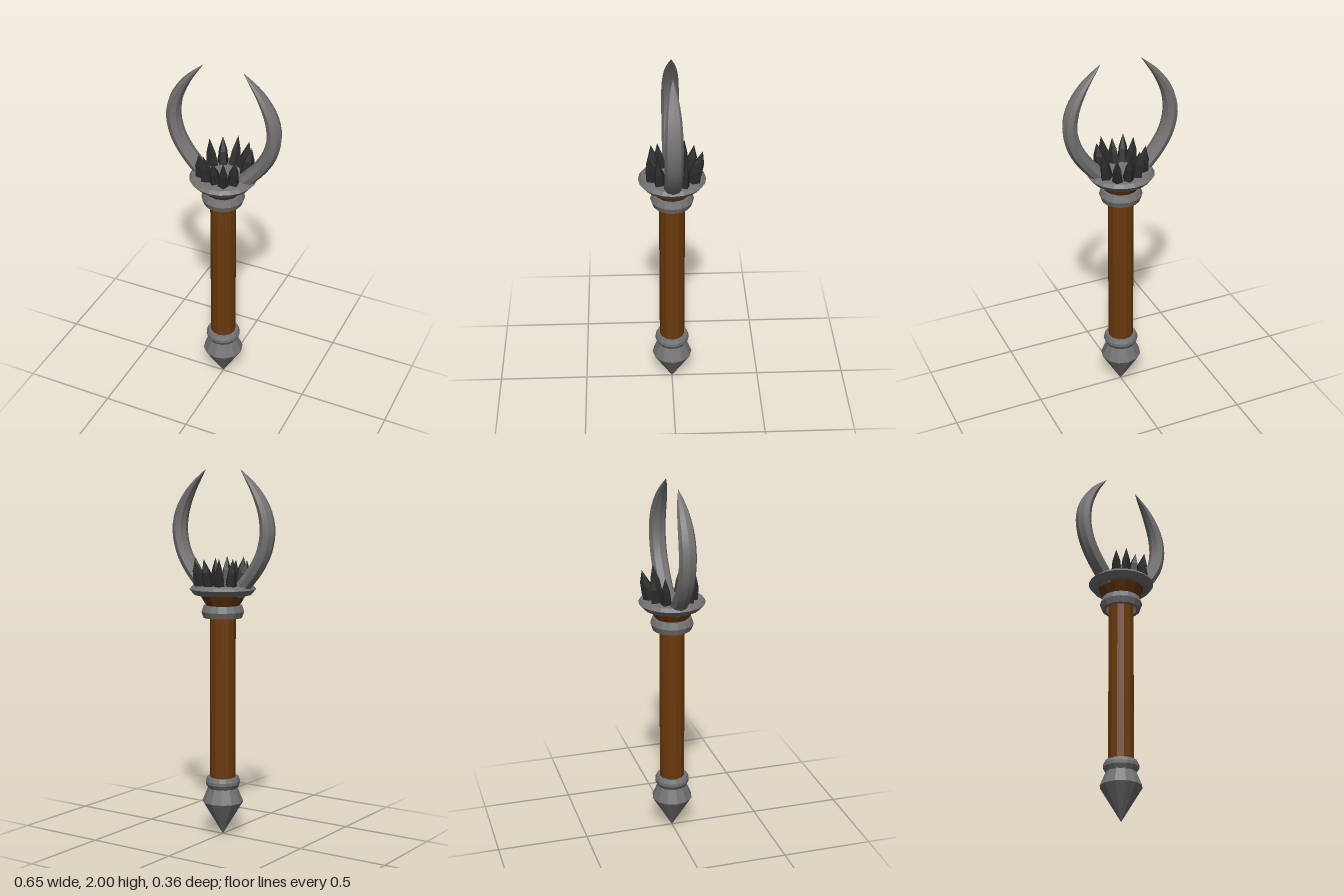
import * as THREE from 'three';

const paint = (name, color) => {
  const m = new THREE.MeshStandardMaterial({ color });
  m.name = name;
  return m;
};

// Faceted copy of a geometry
function facet(geo) {
  const g = geo.index ? geo.toNonIndexed() : geo;
  g.computeVertexNormals();
  return g;
}

// Faceted turned part from [radius, y] pairs, listed bottom to top on the outside
function turned(name, profile, sides, material) {
  const pts = profile.map(([r, y]) => new THREE.Vector2(r, y));
  const mesh = new THREE.Mesh(facet(new THREE.LatheGeometry(pts, sides)), material);
  mesh.name = name;
  return mesh;
}

// Curved horn: tapering octagonal section, smooth lengthwise with crisp ridges
function hornGeometry() {
  const path = new THREE.CatmullRomCurve3([
    [0.10, 1.34], [0.145, 1.395], [0.205, 1.465], [0.26, 1.56],
    [0.283, 1.67], [0.266, 1.775], [0.205, 1.89], [0.11, 2.0],
  ].map(([x, y]) => new THREE.Vector3(x, y, 0)));
  const steps = 22, sides = 8;
  const rings = [];
  for (let i = 0; i <= steps; i++) {
    const t = i / steps;
    const p = path.getPointAt(t), d = path.getTangentAt(t);
    const k = Math.max(0, (t - 0.5) / 0.5);
    const width = 0.04 * (1 - Math.pow(k, 1.6));
    const depth = 0.047 * (1 - Math.pow(k, 2.6));
    rings.push(Array.from({ length: sides + 1 }, (_, j) => {
      const a = (j / sides) * Math.PI * 2;
      const n = Math.cos(a) * width;
      return [p.x + d.y * n, p.y - d.x * n, Math.sin(a) * depth];
    }));
  }
  const pos = [], index = [];
  for (let j = 0; j < sides; j++) {
    const start = pos.length / 3;
    rings.forEach((r) => pos.push(...r[j], ...r[j + 1]));
    for (let i = 0; i < steps; i++) {
      const a = start + i * 2;
      index.push(a, a + 2, a + 1, a + 1, a + 2, a + 3);
    }
  }
  const g = new THREE.BufferGeometry();
  g.setAttribute('position', new THREE.Float32BufferAttribute(pos, 3));
  g.setIndex(index);
  g.computeVertexNormals();
  return g;
}

// Jagged shard: five-sided cone with a swollen waist, its tip leaning outward
function shardGeometry(height, lean) {
  const g = new THREE.ConeGeometry(0.036, height, 5, 2);
  g.translate(0, height / 2, 0);
  const p = g.attributes.position;
  for (let i = 0; i < p.count; i++) {
    const t = p.getY(i) / height;
    const swell = t > 0.1 && t < 0.9 ? 1.5 : 1;
    p.setXYZ(i, p.getX(i) * swell * 0.85, p.getY(i), p.getZ(i) * swell * 1.1 + lean * t);
  }
  return facet(g);
}

export function createModel() {
  const group = new THREE.Group();
  const steel = paint('grey metal', 0x747272);
  const wood = paint('brown wood', 0x6a390d);
  const coal = paint('black stone', 0x2b2b2b);

  // Handle and the flared wooden cup at its top
  group.add(turned('shaft', [[0, 0.3], [0.07, 0.3], [0.07, 1.27], [0, 1.27]], 12, wood));
  group.add(turned('woodenCup', [[0.068, 1.23], [0.09, 1.27], [0.132, 1.34], [0, 1.34]], 12, wood));

  // Pointed pommel with its ring
  group.add(turned('pommel', [[0, 0], [0.113, 0.187], [0.08, 0.268], [0, 0.268]], 12, steel));
  group.add(turned('pommelRing',
    [[0, 0.262], [0.08, 0.262], [0.095, 0.288], [0.095, 0.305], [0.086, 0.325], [0, 0.325]], 16, steel));

  // Collar, open around the shaft
  group.add(turned('collar',
    [[0.085, 1.205], [0.105, 1.205], [0.117, 1.238], [0.105, 1.272], [0.085, 1.272], [0.085, 1.205]], 16, steel));

  // Crown plate
  group.add(turned('crownPlate',
    [[0, 1.335], [0.155, 1.33], [0.18, 1.36], [0.165, 1.378], [0.1, 1.385], [0, 1.385]], 20, steel));

  // Pair of horns
  const horn = hornGeometry();
  ['leftHorn', 'rightHorn'].forEach((name, i) => {
    const mesh = new THREE.Mesh(horn, steel);
    mesh.name = name;
    mesh.rotation.y = i * Math.PI;
    group.add(mesh);
  });

  // Shards around the plate, front then back: x, z, height, lean
  const shards = new THREE.Group();
  shards.name = 'shards';
  [
    [-0.088, 0.062, 0.135, 0.022], [-0.05, 0.088, 0.15, 0.025], [-0.003, 0.092, 0.13, 0.03],
    [0.046, 0.1, 0.15, 0.03], [0.084, 0.064, 0.14, 0.025],
    [-0.09, -0.056, 0.15, 0.025], [-0.045, -0.095, 0.15, 0.025], [0.01, -0.115, 0.15, 0.045],
    [0.065, -0.108, 0.14, 0.04], [0.105, -0.056, 0.15, 0.03],
  ].forEach(([x, z, height, lean], i) => {
    const mesh = new THREE.Mesh(shardGeometry(height, lean), coal);
    mesh.name = `shard${i + 1}`;
    mesh.position.set(x, 1.38, z);
    mesh.rotation.y = Math.atan2(x, z);
    shards.add(mesh);
  });
  group.add(shards);
  return group;
}
